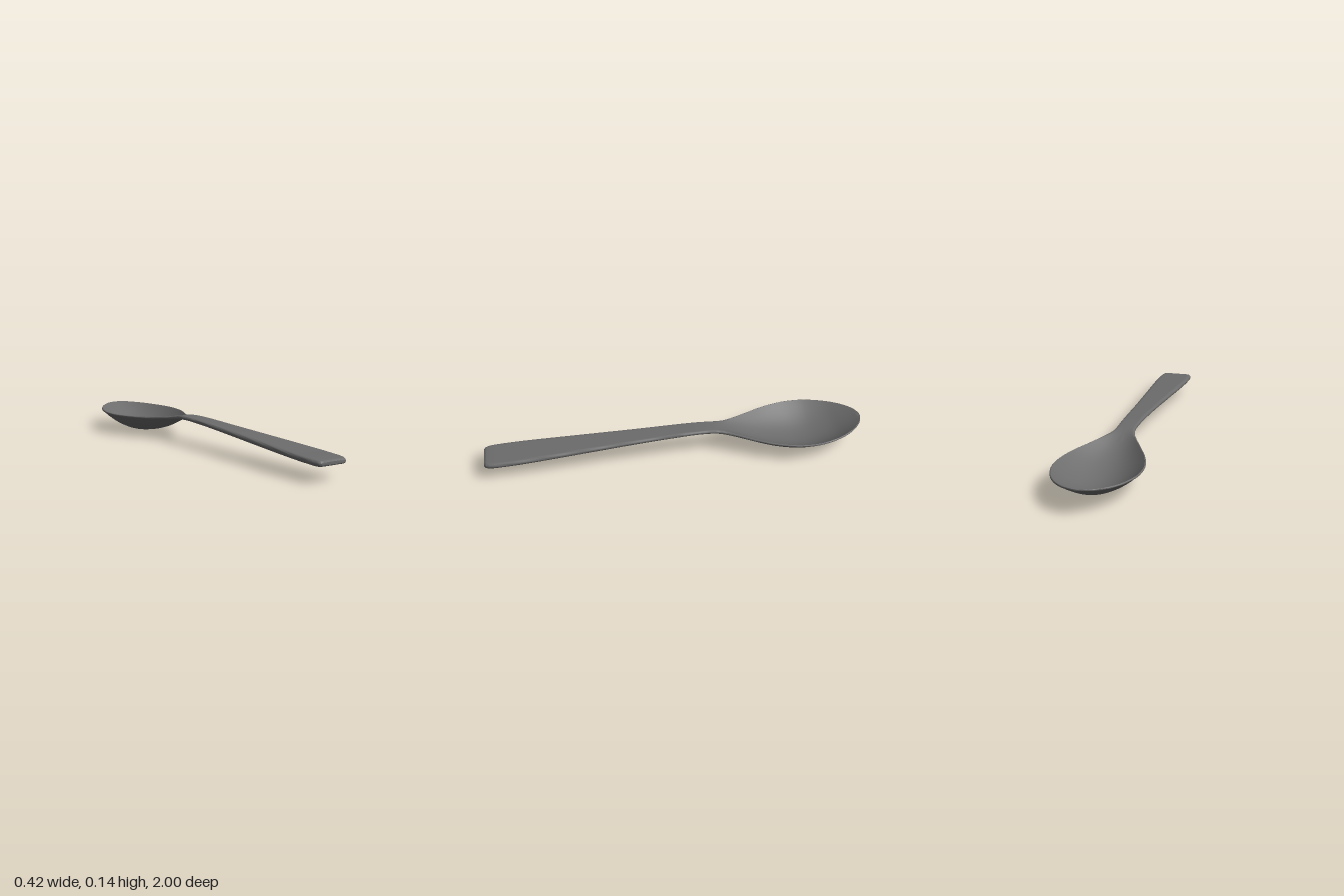
import * as THREE from 'three';
import { toCreasedNormals } from 'three/addons/utils/BufferGeometryUtils.js';

// Stations from handle end to bowl tip: z, half width, rim height, lowest height, thickness
const STATIONS = [
  [1.0, 0.066, 0.093, 0.079, 0.014],
  [0.993, 0.077, 0.098, 0.074, 0.024],
  [0.975, 0.086, 0.101, 0.073, 0.028],
  [0.94, 0.091, 0.103, 0.075, 0.028],
  [0.8, 0.091, 0.109, 0.082, 0.027],
  [0.5, 0.075, 0.123, 0.097, 0.026],
  [0.2, 0.059, 0.136, 0.113, 0.023],
  [0.0, 0.052, 0.144, 0.123, 0.021],
  [-0.12, 0.049, 0.146, 0.126, 0.02],
  [-0.2, 0.049, 0.142, 0.122, 0.02],
  [-0.25, 0.057, 0.135, 0.11, 0.019],
  [-0.3, 0.077, 0.128, 0.092, 0.017],
  [-0.4, 0.128, 0.118, 0.053, 0.014],
  [-0.5, 0.175, 0.113, 0.025, 0.012],
  [-0.6, 0.204, 0.111, 0.007, 0.011],
  [-0.67, 0.211, 0.111, 0.002, 0.01],
  [-0.75, 0.205, 0.112, 0.009, 0.01],
  [-0.85, 0.172, 0.115, 0.038, 0.01],
  [-0.92, 0.13, 0.119, 0.073, 0.01],
  [-0.97, 0.08, 0.123, 0.101, 0.009],
  [-0.99, 0.045, 0.125, 0.113, 0.008],
  [-1.0, 0.012, 0.125, 0.118, 0.006],
];
const SUBDIVISIONS = 3;
const SPAN = 16;  // divisions across the top and the underside
const EDGE = 6;   // divisions around each rounded edge

// Slope of one column at a station
function slope(i, k) {
  const a = STATIONS[Math.max(i - 1, 0)];
  const b = STATIONS[Math.min(i + 1, STATIONS.length - 1)];
  return (b[k] - a[k]) / (b[0] - a[0]);
}

// Smooth station between i and i + 1
function blend(i, t) {
  const a = STATIONS[i], b = STATIONS[i + 1], dz = b[0] - a[0];
  return a.map((v, k) => {
    if (k === 0) return v + dz * t;
    const t2 = t * t, t3 = t2 * t;
    return (2 * t3 - 3 * t2 + 1) * v + (t3 - 2 * t2 + t) * dz * slope(i, k)
      + (3 * t2 - 2 * t3) * b[k] + (t3 - t2) * dz * slope(i + 1, k);
  });
}

// Closed cross-section: dished top, round edge, underside, round edge
function section([z, w, rim, low, thick]) {
  const r = Math.min(thick / 2, w * 0.9);
  const flat = w - r;
  const depth = Math.max(rim - thick - low, 0);
  const mid = (x) => rim - thick / 2 - depth * (1 - (x / flat) ** 2);
  const ring = [];
  for (const side of [1, -1]) {
    for (let j = 0; j < SPAN; j++) {
      const x = side * flat * (2 * j / SPAN - 1);
      ring.push([x, mid(x) + side * thick / 2, z]);
    }
    for (let j = 0; j < EDGE; j++) {
      const a = Math.PI * j / EDGE;
      ring.push([side * (flat + r * Math.sin(a)), mid(flat) + side * Math.cos(a) * thick / 2, z]);
    }
  }
  return ring;
}

function spoonGeometry() {
  const rings = [];
  for (let i = 0; i < STATIONS.length - 1; i++) {
    for (let s = 0; s < SUBDIVISIONS; s++) rings.push(section(blend(i, s / SUBDIVISIONS)));
  }
  rings.push(section(STATIONS[STATIONS.length - 1]));

  const n = rings[0].length, last = rings.length - 1;
  const points = rings.flat();
  const index = [];
  for (let i = 0; i < last; i++) {
    for (let j = 0; j < n; j++) {
      const k = (j + 1) % n;
      const a = i * n + j, b = i * n + k, c = a + n, d = b + n;
      index.push(a, b, d, a, d, c);
    }
  }
  // End caps
  for (const [row, flip] of [[0, true], [last, false]]) {
    const centre = points.length;
    const s = STATIONS[row === 0 ? 0 : STATIONS.length - 1];
    points.push([0, (s[2] + s[3]) / 2, s[0]]);
    for (let j = 0; j < n; j++) {
      const a = row * n + j, b = row * n + (j + 1) % n;
      index.push(centre, flip ? b : a, flip ? a : b);
    }
  }
  const geometry = new THREE.BufferGeometry();
  geometry.setAttribute('position', new THREE.Float32BufferAttribute(points.flat(), 3));
  geometry.setIndex(index);
  return toCreasedNormals(geometry, 0.8);
}

export function createModel() {
  const steel = new THREE.MeshStandardMaterial({ color: 0x6c6c6c });
  steel.name = 'grey steel';

  // Handle, neck and bowl are one continuous loft
  const spoon = new THREE.Mesh(spoonGeometry(), steel);
  spoon.name = 'spoonHandleAndBowl';

  const model = new THREE.Group();
  model.name = 'spoon';
  model.add(spoon);
  return model;
}
